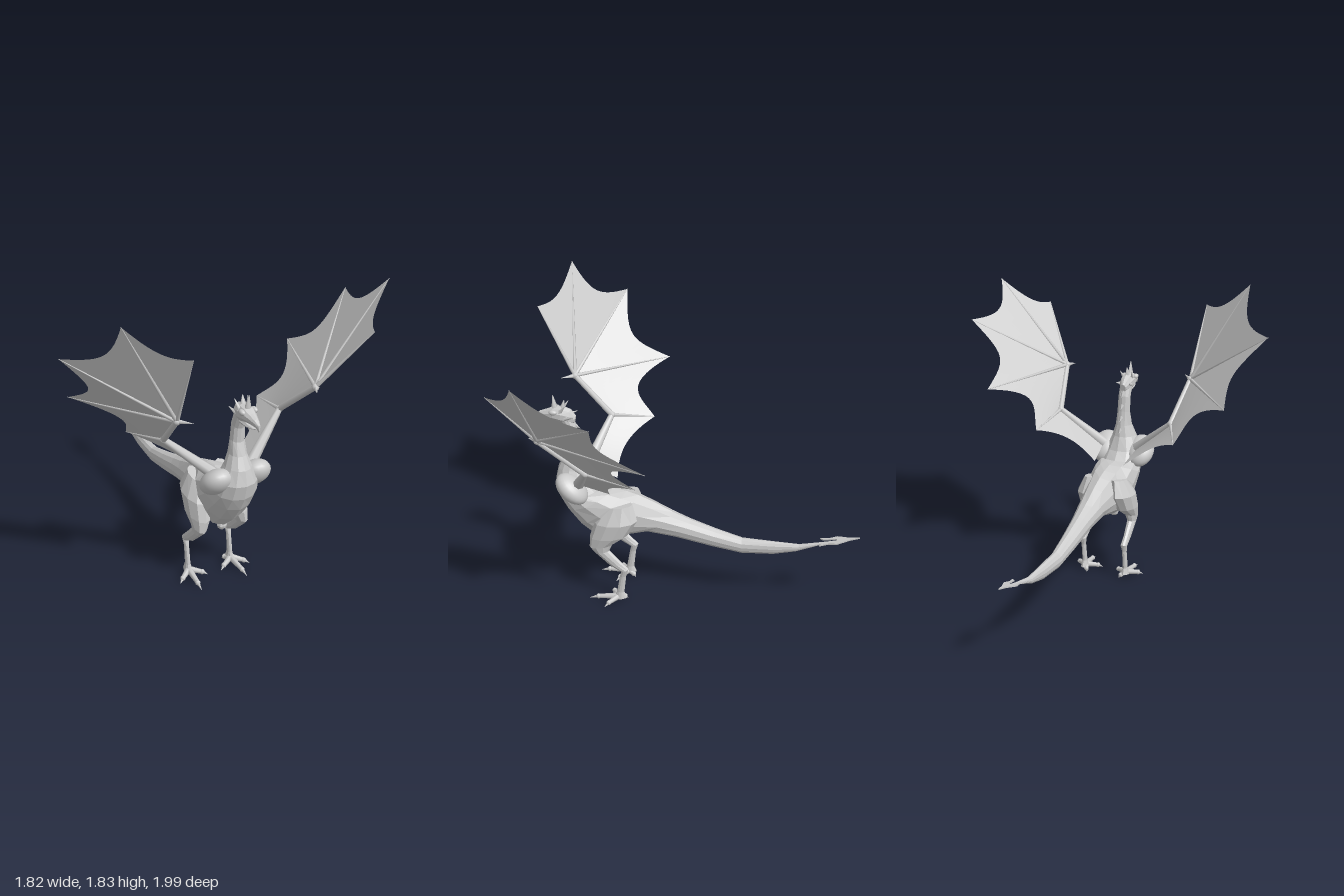
import * as THREE from 'three';

const CX = 0.024; // the body's centre line
const V = (x, y, z) => new THREE.Vector3(x, y, z);
const flat = new THREE.MeshStandardMaterial({ color: 0xcccccc, flatShading: true });
const smooth = new THREE.MeshStandardMaterial({ color: 0xcccccc });
const thin = new THREE.MeshStandardMaterial({ color: 0xcccccc, side: THREE.DoubleSide });

function add(parent, name, geo, mat = flat) {
  const mesh = new THREE.Mesh(geo, mat);
  mesh.name = name;
  parent.add(mesh);
  return mesh;
}

// Closed skin through rings given as [backZ, backY, frontZ, frontY, halfWidth, centreX]
function loft(rows, sides = 12) {
  const pos = [], idx = [];
  const ring = ([z0, y0, z1, y1, w, x = CX], s) => {
    for (let j = 0; j < sides; j++) {
      const a = (j / sides) * Math.PI * 2, c = (Math.cos(a) / 2) * s;
      pos.push(x + Math.sin(a) * w * s, (y0 + y1) / 2 + c * (y0 - y1), (z0 + z1) / 2 + c * (z0 - z1));
    }
  };
  ring(rows[0], 0);
  rows.forEach((r) => ring(r, 1));
  ring(rows[rows.length - 1], 0);
  for (let i = 0; i <= rows.length; i++)
    for (let j = 0; j < sides; j++) {
      const k = (j + 1) % sides, a = i * sides + j, b = i * sides + k;
      idx.push(a, b, a + sides, b, b + sides, a + sides);
    }
  const geo = new THREE.BufferGeometry();
  geo.setAttribute('position', new THREE.Float32BufferAttribute(pos, 3));
  geo.setIndex(idx);
  geo.computeVertexNormals();
  return geo;
}

// Tapered rod from p to q
function rod(parent, name, p, q, r0, r1, sides = 7) {
  const d = q.clone().sub(p);
  const mesh = add(parent, name, new THREE.CylinderGeometry(r1, r0, d.length(), sides), smooth);
  mesh.position.copy(p).addScaledVector(d, 0.5);
  mesh.quaternion.setFromUnitVectors(V(0, 1, 0), d.normalize());
  return mesh;
}

// Membrane panel from edge a0-a1 out to b0-b1, its outer rim scalloped inwards
function panel(parent, a0, a1, b0, b1, sag) {
  const n = 14, m = 5, pos = [], idx = [];
  for (let i = 0; i <= n; i++) {
    const t = i / n, inner = a0.clone().lerp(a1, t);
    const outer = b0.clone().lerp(b1, t).lerp(inner, sag * 4 * t * (1 - t));
    for (let j = 0; j <= m; j++) pos.push(...inner.clone().lerp(outer, j / m).toArray());
  }
  for (let i = 0; i < n; i++)
    for (let j = 0; j < m; j++) {
      const a = i * (m + 1) + j, b = a + m + 1;
      idx.push(a, b, a + 1, b, b + 1, a + 1);
    }
  const geo = new THREE.BufferGeometry();
  geo.setAttribute('position', new THREE.Float32BufferAttribute(pos, 3));
  geo.setIndex(idx);
  geo.computeVertexNormals();
  add(parent, 'membrane', geo, thin);
}

function wing(name, w) {
  const g = new THREE.Group();
  g.name = name;
  const { shoulder, root, elbow, wrist, claw, tips } = w;
  rod(g, 'upperArm', shoulder, elbow, 0.035, 0.018);
  rod(g, 'forearm', elbow, wrist, 0.018, 0.016);
  [elbow, wrist].forEach((p) =>
    add(g, 'joint', new THREE.SphereGeometry(0.021, 8, 6), smooth).position.copy(p));
  rod(g, 'thumbClaw', wrist, claw, 0.014, 0.001);
  tips.forEach((t, i) => rod(g, 'finger', i < 4 ? wrist : elbow, t, 0.012, 0.002));
  [0.12, 0.15, 0.22].forEach((s, i) => panel(g, wrist, wrist, tips[i], tips[i + 1], s));
  panel(g, wrist, elbow, tips[3], tips[4], 0.36);
  panel(g, elbow, shoulder, tips[4], root, 0.3);
  return g;
}

// Thigh, shank, foot and clawed toes; s is +1 for the left side
function leg(s) {
  const g = new THREE.Group();
  g.name = s > 0 ? 'leftLeg' : 'rightLeg';
  const rows = [
    [0.33, 0.67, 0.49, 0.64, 0.04, 0.09], [0.3, 0.57, 0.56, 0.54, 0.07, 0.11],
    [0.36, 0.47, 0.59, 0.44, 0.06, 0.12], [0.45, 0.405, 0.59, 0.375, 0.036, 0.133],
    [0.47, 0.36, 0.56, 0.345, 0.027, 0.137], [0.4, 0.285, 0.47, 0.26, 0.021, 0.139],
    [0.355, 0.24, 0.4, 0.22, 0.02, 0.139], [0.37, 0.19, 0.41, 0.18, 0.014, 0.139],
    [0.385, 0.07, 0.43, 0.07, 0.015, 0.139], [0.37, 0.03, 0.45, 0.02, 0.024, 0.139],
  ];
  add(g, 'limb', loft(rows.map((r) => [...r.slice(0, 5), CX + s * r[5]]), 10));
  const x = CX + s * 0.139;
  [[0.01, 0.6], [0.09, 0.49], [-0.095, 0.48], [-0.03, 0.37]].forEach(([dx, z]) => {
    const a = V(x, 0.035, 0.42), tip = V(x + s * dx, 0.006, z);
    const mid = a.clone().lerp(tip, 0.7).setY(0.022);
    rod(g, 'toe', a, mid, 0.02, 0.013);
    add(g, 'knuckle', new THREE.SphereGeometry(0.016, 7, 5), smooth).position.copy(mid);
    rod(g, 'claw', mid, tip, 0.011, 0.001);
  });
  return g;
}

export function createModel() {
  const model = new THREE.Group();

  // Neck, chest, belly and tail in one skin
  add(model, 'body', loft([
    [0.7, 1.2, 0.76, 1.14, 0.038], [0.665, 1.107, 0.735, 1.075, 0.038],
    [0.657, 1.01, 0.73, 0.99, 0.041], [0.64, 0.92, 0.755, 0.915, 0.05],
    [0.625, 0.85, 0.79, 0.845, 0.075], [0.59, 0.765, 0.81, 0.76, 0.115],
    [0.55, 0.715, 0.79, 0.67, 0.13], [0.465, 0.717, 0.745, 0.58, 0.14],
    [0.385, 0.705, 0.67, 0.475, 0.138], [0.315, 0.685, 0.57, 0.385, 0.12],
    [0.22, 0.645, 0.44, 0.4, 0.1], [0.1, 0.585, 0.275, 0.45, 0.078],
    [0, 0.545, 0.09, 0.425, 0.06], [-0.15, 0.495, -0.13, 0.38, 0.047],
    [-0.31, 0.45, -0.31, 0.35, 0.036], [-0.5, 0.447, -0.5, 0.362, 0.026],
    [-0.65, 0.445, -0.63, 0.395, 0.017], [-0.78, 0.475, -0.77, 0.455, 0.009],
    [-0.88, 0.502, -0.88, 0.49, 0.005],
  ]));
  add(model, 'vent', new THREE.SphereGeometry(0.03, 8, 6)).position.set(CX, 0.378, 0.55);

  // Barbed tail tip, a thin slab sloping up to the rear
  const half = [[0.012, 0.94], [0.04, 0.87], [0.03, 0.82], [0.04, 0.768], [0.02, 0.785], [0.014, 0.86]];
  const outline = [[0, 1], ...half, [0, 0.87], ...half.map(([x, y]) => [-x, y]).reverse()];
  const barb = new THREE.ExtrudeGeometry(new THREE.Shape(outline.map((p) => new THREE.Vector2(...p))),
    { depth: 0.008, bevelEnabled: false });
  barb.rotateX(-Math.PI / 2);
  const bp = barb.attributes.position;
  for (let i = 0; i < bp.count; i++) bp.setY(i, bp.getY(i) + 0.525 + (bp.getZ(i) + 1) * -0.24);
  barb.computeVertexNormals();
  add(model, 'tailBarb', barb).position.x = CX;

  // Head with hooked beak, brows and crest
  const head = new THREE.Group();
  head.name = 'head';
  model.add(head);
  add(head, 'skull', loft([
    [0.915, 1.145, 0.905, 1.135, 0.003], [0.913, 1.175, 0.89, 1.15, 0.01],
    [0.88, 1.197, 0.87, 1.152, 0.02], [0.84, 1.212, 0.84, 1.152, 0.03],
    [0.8, 1.23, 0.8, 1.145, 0.043], [0.75, 1.235, 0.76, 1.13, 0.044],
    [0.7, 1.22, 0.71, 1.12, 0.036], [0.67, 1.18, 0.68, 1.13, 0.018],
  ], 10));
  add(head, 'lowerJaw', loft([
    [0.87, 1.138, 0.865, 1.13, 0.008], [0.82, 1.145, 0.81, 1.118, 0.022],
    [0.76, 1.16, 0.75, 1.115, 0.03],
  ], 8));
  rod(head, 'wattle', V(CX, 1.14, 0.81), V(CX, 1.105, 0.815), 0.014, 0.004);
  rod(head, 'crest', V(CX, 1.2, 0.79), V(CX, 1.3, 0.8), 0.024, 0.002, 5);
  rod(head, 'crest', V(CX, 1.2, 0.75), V(CX, 1.275, 0.735), 0.024, 0.002, 5);
  for (const s of [-1, 1]) {
    const brow = add(head, 'brow', new THREE.SphereGeometry(0.016, 8, 6), smooth);
    brow.scale.z = 1.6;
    brow.position.set(CX + s * 0.037, 1.207, 0.795);
    rod(head, 'horn', V(CX + s * 0.025, 1.2, 0.76), V(CX + s * 0.04, 1.255, 0.72), 0.015, 0.001, 5);
    rod(head, 'horn', V(CX + s * 0.03, 1.17, 0.73), V(CX + s * 0.045, 1.19, 0.67), 0.014, 0.001, 5);

    // Rounded flight muscle on each side of the chest
    const muscle = add(model, 'shoulderMuscle', new THREE.SphereGeometry(1, 24, 16), smooth);
    muscle.scale.set(0.09, 0.066, 0.112);
    muscle.rotation.x = -0.76;
    muscle.position.set(CX + s * 0.117, 0.758, 0.684);
    model.add(leg(s));
  }

  // Small ridge spines down the nape
  for (let i = 0; i < 5; i++) {
    const y = 0.82 + i * 0.075, z = 0.62 + i * 0.011;
    rod(model, 'napeSpine', V(CX, y, z + 0.015), V(CX, y - 0.02, z - 0.018), 0.014, 0.001, 5);
  }

  // Wings, raised and turned a little differently
  model.add(wing('rightWing', {
    shoulder: V(-0.09, 0.79, 0.645), root: V(-0.07, 0.73, 0.46), elbow: V(-0.34, 1.01, 0.55),
    wrist: V(-0.38, 1.235, 0.78), claw: V(-0.32, 1.24, 0.85),
    tips: [V(-0.4, 1.66, 0.99), V(-0.708, 1.837, 0.855), V(-0.91, 1.6, 0.565),
      V(-0.757, 1.23, 0.27), V(-0.445, 0.966, 0.307)],
  }));
  model.add(wing('leftWing', {
    shoulder: V(0.14, 0.79, 0.645), root: V(0.12, 0.73, 0.46), elbow: V(0.385, 1.015, 0.53),
    wrist: V(0.45, 1.237, 0.77), claw: V(0.42, 1.235, 0.83),
    tips: [V(0.66, 1.589, 0.963), V(0.898, 1.764, 0.74), V(0.903, 1.578, 0.35),
      V(0.68, 1.219, 0.123), V(0.414, 0.96, 0.24)],
  }));
  return model;
}
